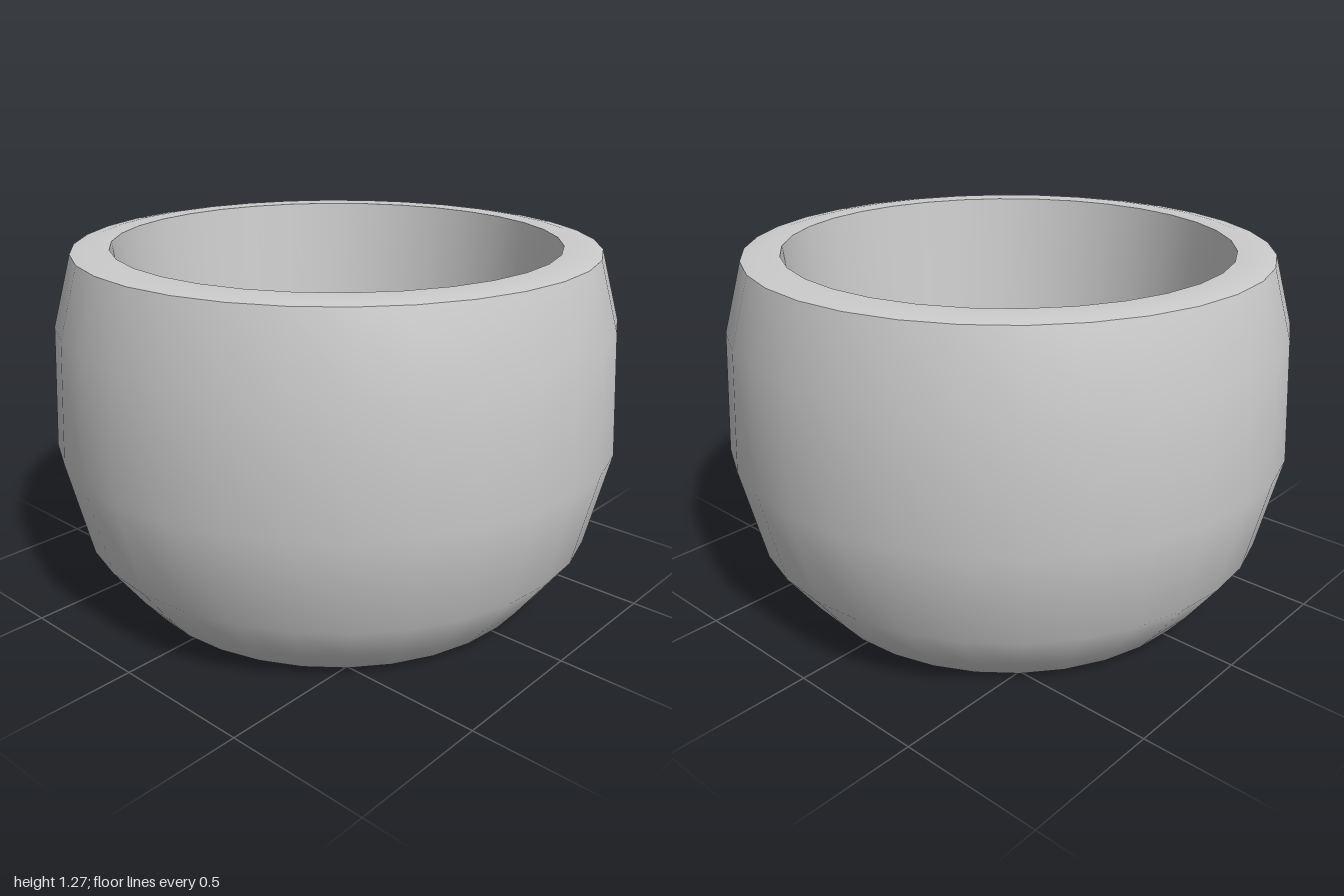
import * as THREE from 'three';

const SIDES = 32;

export function createModel() {
  const bowl = new THREE.Group();
  bowl.name = 'bowl';
  const material = new THREE.MeshStandardMaterial({ color: 0xcccccc });

  // Each profile is turned separately so the edges between parts stay sharp.
  const turn = (name, profile) => {
    const points = profile.map(([r, y]) => new THREE.Vector2(r, y));
    const mesh = new THREE.Mesh(new THREE.LatheGeometry(points, SIDES), material);
    mesh.name = name;
    bowl.add(mesh);
  };

  // Rounded outside with its foot, from the centre of the base up to the rim
  turn('outerWall', [
    [0, 0], [0.69, 0], [0.745, 0.02], [0.81, 0.1], [0.922, 0.255],
    [1, 0.595], [0.975, 1.02], [0.908, 1.26],
  ]);

  // Gently crowned lip
  turn('rim', [[0.908, 1.26], [0.85, 1.27], [0.778, 1.268]]);

  // Tapered inside and flat floor
  turn('innerWall', [[0.778, 1.268], [0.655, 0.13]]);
  turn('floor', [[0.655, 0.13], [0, 0.13]]);

  return bowl;
}
